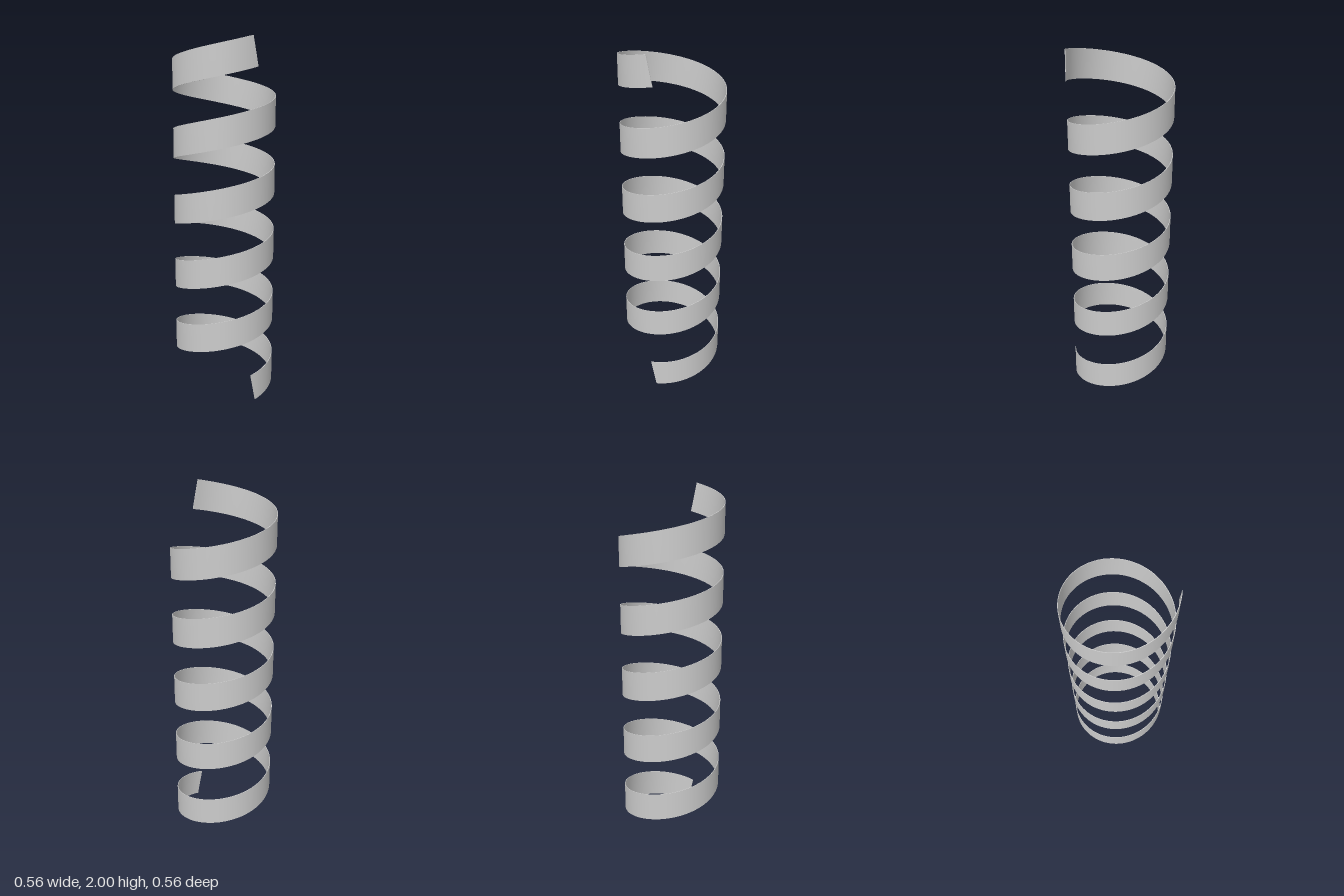
import * as THREE from 'three';

const RADIUS = 0.277;     // middle of the strip
const THICKNESS = 0.003;
const TURNS = 5;
const PITCH = 0.369;      // rise per turn
const END_HEIGHT = 2 - TURNS * PITCH;

// Wraps a straight box strip (x = length, y = width, z = thickness) into a helix
function helicalStrip(segmentsPerTurn) {
  const geometry = new THREE.BoxGeometry(1, 1, 1, TURNS * segmentsPerTurn, 2, 1);
  const slope = PITCH / (2 * Math.PI * RADIUS);
  const p = geometry.attributes.position;
  for (let i = 0; i < p.count; i++) {
    const along = p.getX(i) + 0.5;
    const across = p.getY(i) * END_HEIGHT;
    // the width runs square to the climbing direction, so the ends are slanted
    const angle = along * TURNS * 2 * Math.PI - across * slope / RADIUS;
    const r = RADIUS + p.getZ(i) * THICKNESS;
    const y = along * TURNS * PITCH + END_HEIGHT / 2 + across;
    p.setXYZ(i, r * Math.cos(angle), y, -r * Math.sin(angle));
  }
  geometry.computeVertexNormals();
  return geometry;
}

export function createModel() {
  const model = new THREE.Group();
  model.name = 'helicalRibbon';
  const material = new THREE.MeshStandardMaterial({ color: 0xcccccc, side: THREE.DoubleSide });
  const ribbon = new THREE.Mesh(helicalStrip(72), material);
  ribbon.name = 'spiralStrip';
  model.add(ribbon);
  return model;
}
